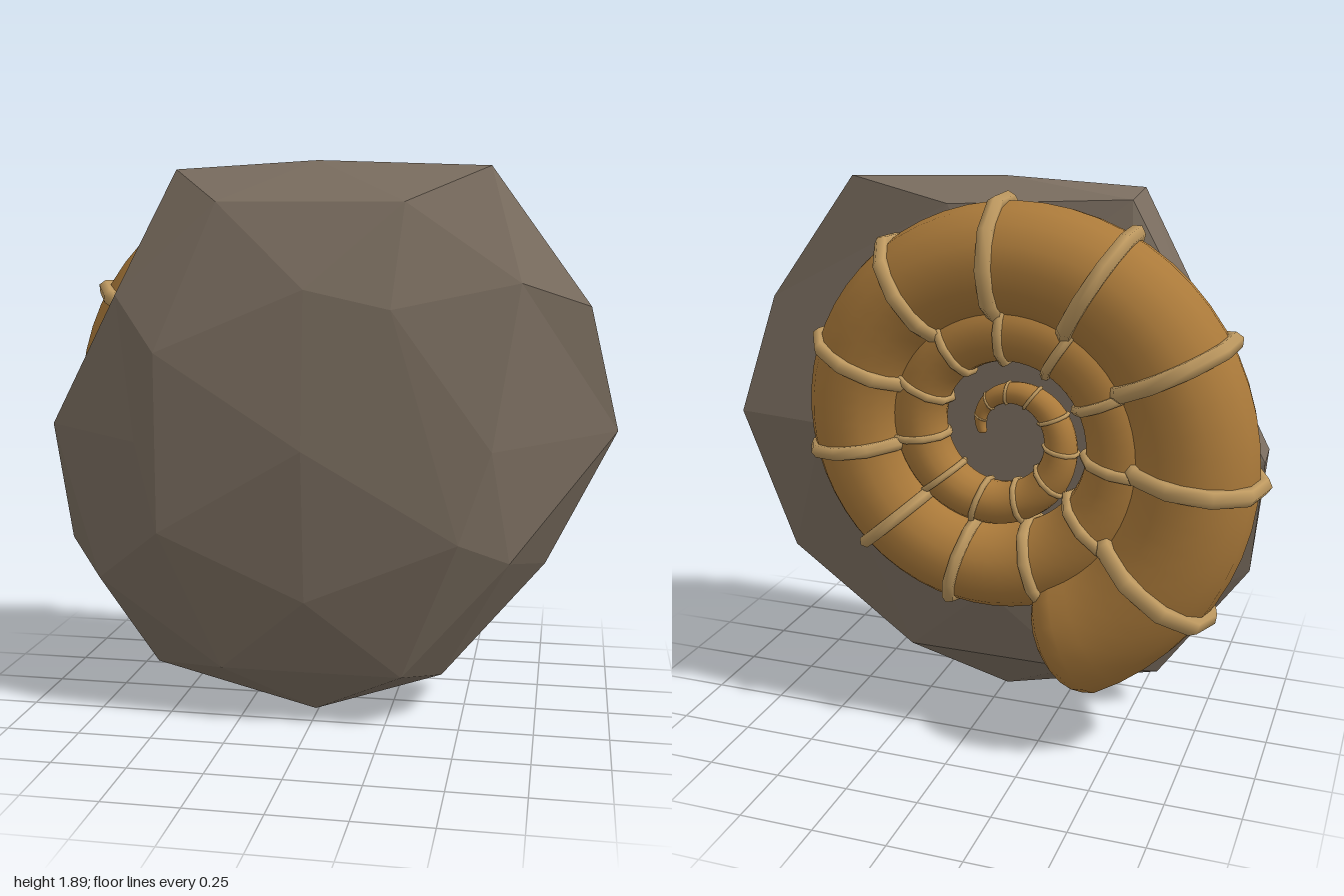
import * as THREE from 'three';

const rockMat = new THREE.MeshStandardMaterial({ name: 'stone grey', color: 0x7b6e60 });
rockMat.flatShading = true;
const shellMat = new THREE.MeshStandardMaterial({ name: 'shell ochre', color: 0xab7a3a });
const ribMat = new THREE.MeshStandardMaterial({ name: 'rib tan', color: 0xbe9960 });

// Spiral rule: angle in turns (0 is +x, rising towards +y), whorls grow steadily
// and open out a little more near the mouth.
const CX = -0.105, CY = 1.09, CZ = -0.19;
const T_END = 2 + 248 / 360;
const spiralRadius = (t) => 0.08 + 0.22 * t + 0.45 * Math.max(0, t - 2.4) ** 2;
const tubeRadius = (t) => 0.342 * spiralRadius(t) - 0.011;
const radial = (t) => new THREE.Vector3(Math.cos(t * 2 * Math.PI), Math.sin(t * 2 * Math.PI), 0);
const tangent = (t) => new THREE.Vector3(-Math.sin(t * 2 * Math.PI), Math.cos(t * 2 * Math.PI), 0);
const spiralPoint = (t) => radial(t).multiplyScalar(spiralRadius(t)).add(new THREE.Vector3(CX, CY, CZ));

// Flattened, chipped boulder: a faceted ball with its corners pulled into place.
function makeRock() {
  const chips = [ // [direction on the ball], [corner position]
    // rim
    [[0.526, 0.851, 0], [0.57, 1.87, 0.13]],
    [[-0.526, 0.851, 0], [-0.46, 1.86, 0.21]],
    [[0, 1, 0], [0, 1.89, 0.13]],
    [[0, -1, 0], [-0.01, 0, 0.13]],
    [[1, 0, 0], [1, 1, 0.03]],
    [[-1, 0, 0], [-0.92, 1, 0.2]],
    [[0.526, -0.851, 0], [0.43, 0.15, 0.13]],
    [[-0.526, -0.851, 0], [-0.58, 0.14, 0.13]],
    // front
    [[0.809, 0.5, 0.309], [0.68, 1.5, 0.28]],
    [[-0.809, 0.5, 0.309], [-0.66, 1.45, 0.28]],
    [[0.809, -0.5, 0.309], [0.66, 0.59, 0.28]],
    [[-0.809, -0.5, 0.309], [-0.74, 0.48, 0.28]],
    [[0.851, 0, 0.526], [0.6, 0.97, 0.36]],
    [[-0.851, 0, 0.526], [-0.58, 0.97, 0.36]],
    [[0.5, 0.309, 0.809], [0.28, 1.42, 0.41]],
    // back
    [[0.309, 0.809, -0.5], [0.15, 1.81, -0.04]],
    [[-0.309, 0.809, -0.5], [-0.46, 1.84, 0.03]],
    [[0.809, 0.5, -0.309], [0.9, 1.42, 0.13]],
    [[-0.809, 0.5, -0.309], [-0.69, 1.42, 0.05]],
    [[0.809, -0.5, -0.309], [0.77, 0.52, -0.03]],
    [[-0.809, -0.5, -0.309], [-0.89, 0.58, 0.12]],
    [[0.851, 0, -0.526], [0.6, 1.03, -0.12]],
    [[-0.851, 0, -0.526], [-0.93, 1, 0.04]],
  ].map(([d, p]) => [new THREE.Vector3(...d), p]);

  const geo = new THREE.IcosahedronGeometry(1, 1);
  const pos = geo.attributes.position;
  const v = new THREE.Vector3();
  for (let i = 0; i < pos.count; i++) {
    v.fromBufferAttribute(pos, i);
    const chip = chips.find(([d]) => d.distanceTo(v) < 0.05);
    if (chip) pos.setXYZ(i, ...chip[1]);
    else pos.setXYZ(i, v.x, 0.97 + 0.97 * v.y, Math.max(0.13 + 0.32 * v.z, -0.08));
  }
  geo.computeVertexNormals();
  const rock = new THREE.Mesh(geo, rockMat);
  rock.name = 'rock';
  return rock;
}

// Coiled shell: circular sections swept along the spiral, rounded at both ends.
function makeShell() {
  const SIDES = 16, STEPS = 150, CAP = 5;
  const sections = []; // centre, radius, turn
  const addCap = (t, dir) => {
    for (let i = 1; i <= CAP; i++) {
      const a = (i / CAP) * Math.PI / 2;
      const r = tubeRadius(t);
      const centre = spiralPoint(t).addScaledVector(tangent(t), dir * 0.6 * r * Math.sin(a));
      const section = [centre, Math.max(r * Math.cos(a), 0.0005), t];
      if (dir > 0) sections.push(section); else sections.unshift(section);
    }
  };
  for (let i = 0; i <= STEPS; i++) {
    const t = T_END * i / STEPS;
    sections.push([spiralPoint(t), tubeRadius(t), t]);
  }
  addCap(0, -1);
  addCap(T_END, 1);

  const pos = [], index = [];
  sections.forEach(([c, r, t], row) => {
    const out = radial(t);
    for (let j = 0; j < SIDES; j++) {
      const a = (j / SIDES) * 2 * Math.PI;
      pos.push(c.x + out.x * r * Math.cos(a), c.y + out.y * r * Math.cos(a), c.z + r * Math.sin(a));
      if (row === 0) continue;
      const k = (j + 1) % SIDES;
      const p = (row - 1) * SIDES, q = row * SIDES;
      index.push(p + j, q + j, p + k, p + k, q + j, q + k);
    }
  });
  const geo = new THREE.BufferGeometry();
  geo.setAttribute('position', new THREE.Float32BufferAttribute(pos, 3));
  geo.setIndex(index);
  geo.computeVertexNormals();
  const shell = new THREE.Mesh(geo, shellMat);
  shell.name = 'shell';
  return shell;
}

// Raised ribs: one torus round the tube at each equal turn of the spiral.
function makeRibs() {
  const ribs = new THREE.Group();
  ribs.name = 'ribs';
  for (let t = 2 + 219 / 360; t > 0.04; t -= 32.5 / 360) {
    const r = tubeRadius(t);
    const rib = new THREE.Mesh(new THREE.TorusGeometry(r * 1.03, r * 0.15, 6, 10), ribMat);
    rib.name = 'rib';
    rib.position.copy(spiralPoint(t));
    rib.quaternion.setFromUnitVectors(new THREE.Vector3(0, 0, 1), tangent(t));
    ribs.add(rib);
  }
  return ribs;
}

export function createModel() {
  const model = new THREE.Group();
  model.name = 'spiral fossil on rock';
  model.add(makeRock(), makeShell(), makeRibs());
  return model;
}
